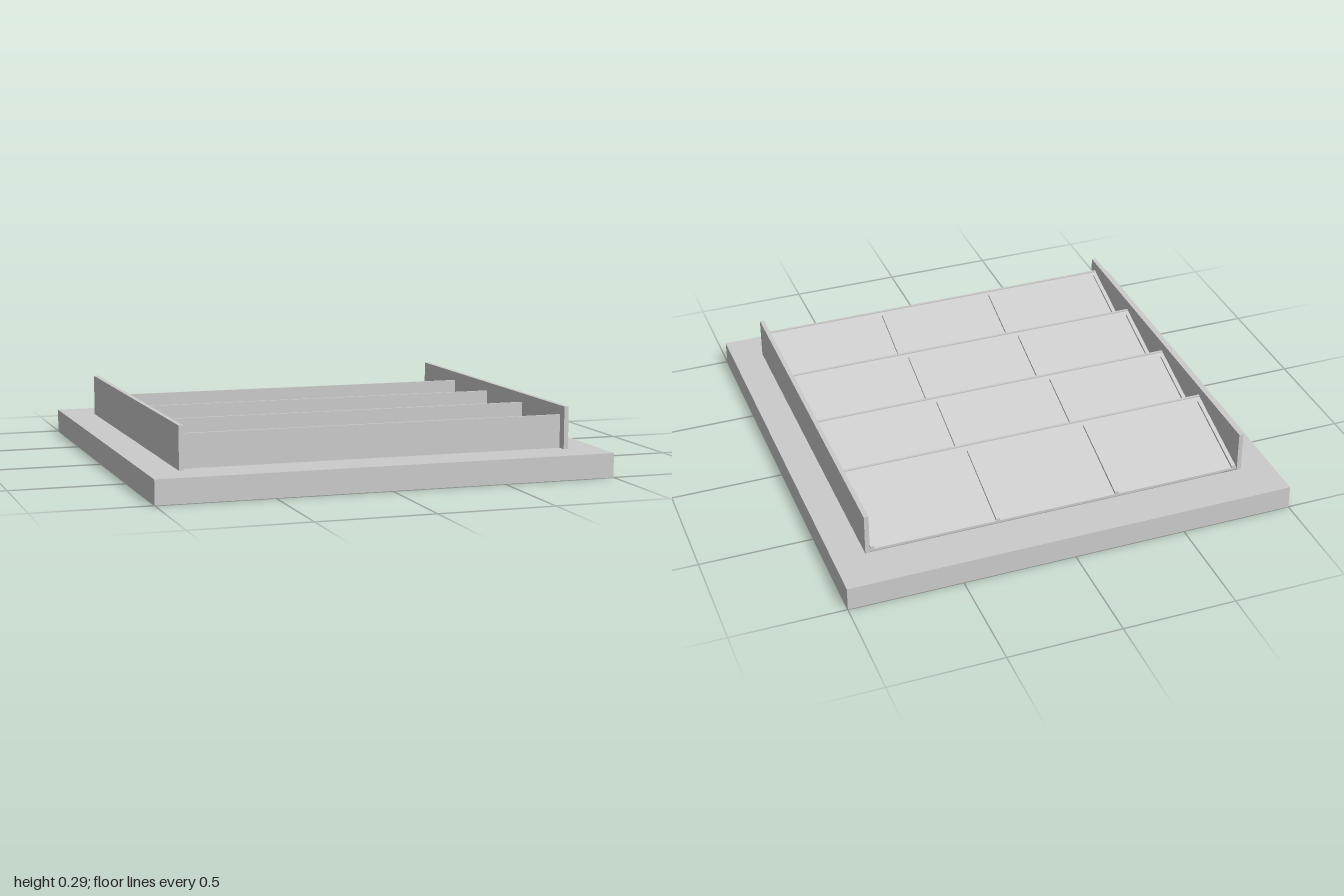
import * as THREE from 'three';

const mat = new THREE.MeshStandardMaterial({ color: 0xcccccc, flatShading: true, side: THREE.DoubleSide });

const DECK = 0.105;   // top of the curb
const RIDGE = 0.25;   // top of each tooth
const HALF = 0.84;    // half width of the roof opening
const PITCH = 0.399;  // depth of one tooth

function add(parent, name, geometry, x = 0, y = 0, z = 0) {
  const mesh = new THREE.Mesh(geometry, mat);
  mesh.name = name;
  mesh.position.set(x, y, z);
  parent.add(mesh);
  return mesh;
}

// Extrudes a [z, y] profile along x, centred on x = 0
function extrudeAlongX(profile, width) {
  const shape = new THREE.Shape(profile.map(([z, y]) => new THREE.Vector2(z, y)));
  return new THREE.ExtrudeGeometry(shape, { depth: width, bevelEnabled: false })
    .rotateY(-Math.PI / 2).translate(width / 2, 0, 0);
}

const rectangle = (hx, hz) => [[-hx, -hz], [hx, -hz], [hx, hz], [-hx, hz]]
  .map(([x, z]) => new THREE.Vector2(x, z));

// Flat square slab with the roof opening cut through it
function curbGeometry() {
  const shape = new THREE.Shape(rectangle(1, 1));
  shape.holes.push(new THREE.Path(rectangle(HALF, 0.8)));
  return new THREE.ExtrudeGeometry(shape, { depth: DECK, bevelEnabled: false }).rotateX(-Math.PI / 2);
}

export function createModel() {
  const model = new THREE.Group();
  model.name = 'sawtoothSkylight';

  add(model, 'curb', curbGeometry());

  // Upright side walls
  for (const side of [-1, 1]) {
    add(model, side > 0 ? 'leftSideWall' : 'rightSideWall',
      new THREE.BoxGeometry(0.02, 0.29 - DECK, 1.645), side * (HALF + 0.01), (0.29 + DECK) / 2, 0.02);
  }

  // One tooth: riser face at z = 0, glazing sloping down to the back from just behind it
  const riser = new THREE.BoxGeometry(2 * HALF, RIDGE - DECK, 0.011);
  const glazing = extrudeAlongX(
    [[-PITCH, DECK], [-0.011, RIDGE - 0.016], [-0.011, RIDGE - 0.005], [-PITCH, DECK + 0.011]], 2 * HALF);
  const bar = extrudeAlongX(
    [[-PITCH, DECK + 0.002], [-0.037, RIDGE - 0.019], [-0.037, RIDGE - 0.004], [-PITCH, DECK + 0.023]], 0.018);

  for (let i = 0; i < 4; i++) {
    const tooth = new THREE.Group();
    tooth.name = 'tooth' + (i + 1);
    tooth.position.z = 0.8 - i * PITCH;
    add(tooth, 'riser', riser, 0, (RIDGE + DECK) / 2, -0.0055);
    add(tooth, 'glazing', glazing);
    for (const x of [-0.826, -0.272, 0.272, 0.826]) add(tooth, 'glazingBar', bar, x);
    model.add(tooth);
  }
  return model;
}
